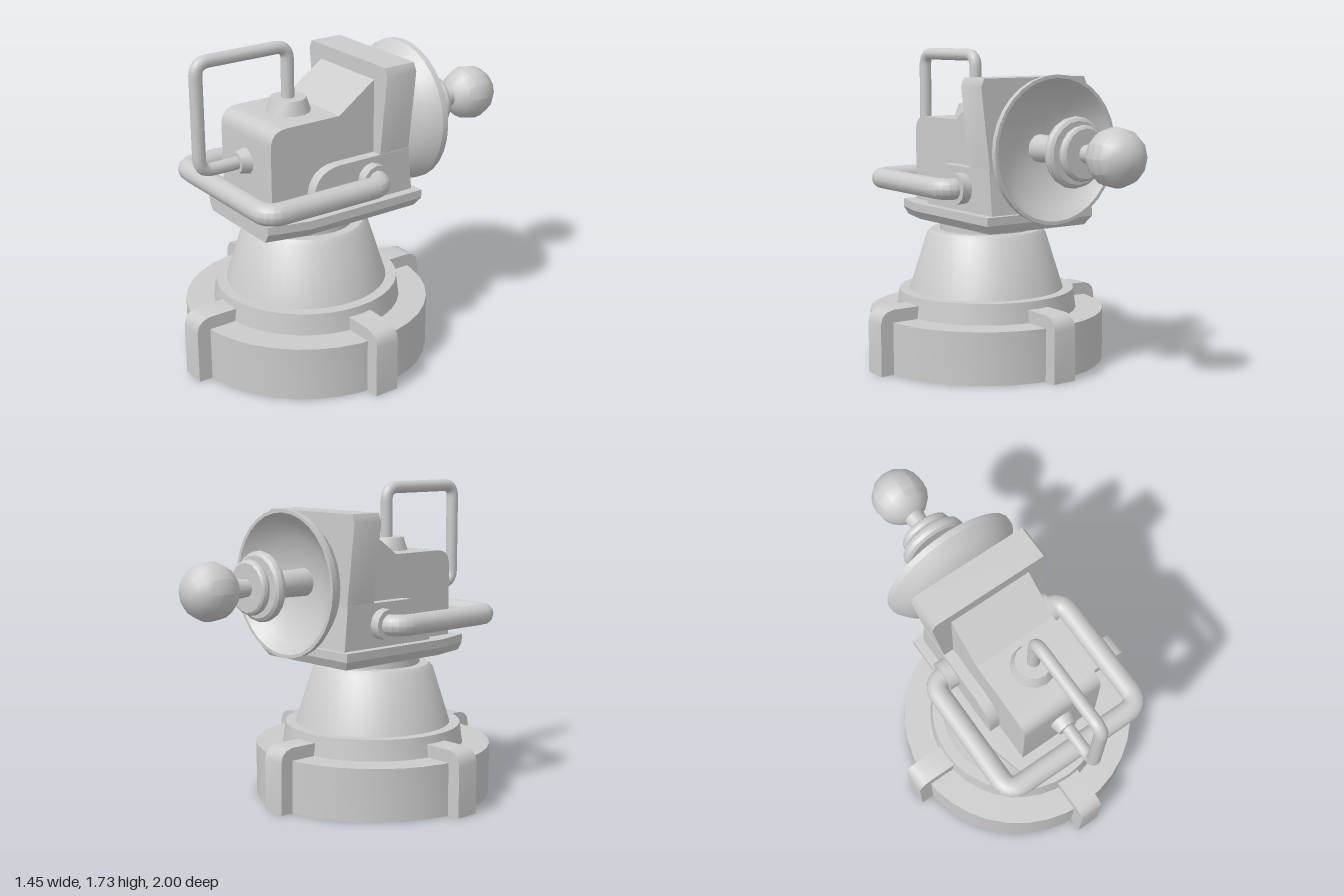
import * as THREE from 'three';
import { toCreasedNormals } from 'three/addons/utils/BufferGeometryUtils.js';

const material = new THREE.MeshStandardMaterial({ color: 0xcccccc });
const doubleSided = new THREE.MeshStandardMaterial({ color: 0xcccccc, side: THREE.DoubleSide });

export function createModel() {
  const model = new THREE.Group();

  const add = (name, geometry, mat = material, parent = model) => {
    const mesh = new THREE.Mesh(toCreasedNormals(geometry, 0.55), mat);
    mesh.name = name;
    parent.add(mesh);
    return mesh;
  };
  const lathe = (points, segments) =>
    new THREE.LatheGeometry(points.map(([r, y]) => new THREE.Vector2(r, y)), segments);
  const shapeOf = (points) => new THREE.Shape(points.map(([x, y]) => new THREE.Vector2(x, y)));
  const extrude = (shape, depth) =>
    new THREE.ExtrudeGeometry(shape, { depth, bevelEnabled: false, curveSegments: 6 });
  // Side profile in (z, y), extruded symmetrically across x
  const sideSlab = (shape, width) =>
    extrude(shape, width).translate(0, 0, -width / 2).rotateY(-Math.PI / 2);
  // Path of straight runs with rounded corners
  const bentTube = (points, bend, radius, segments) => {
    const p = points.map((a) => new THREE.Vector3(...a));
    const path = new THREE.CurvePath();
    let start = p[0];
    for (let i = 1; i < p.length - 1; i++) {
      const before = p[i].clone().add(p[i - 1].clone().sub(p[i]).setLength(bend));
      const after = p[i].clone().add(p[i + 1].clone().sub(p[i]).setLength(bend));
      path.add(new THREE.LineCurve3(start, before));
      path.add(new THREE.QuadraticBezierCurve3(before, p[i], after));
      start = after;
    }
    path.add(new THREE.LineCurve3(start, p[p.length - 1]));
    return new THREE.TubeGeometry(path, segments, radius, 12, false);
  };

  // Hollow round foot with a stepped collar, and the conical pedestal
  const pedestal = new THREE.Group();
  pedestal.name = 'pedestal';
  pedestal.position.z = 0.275;
  model.add(pedestal);
  add('footRing', lathe([[0.655, 0], [0.655, 0.287], [0.505, 0.287], [0.49, 0.4], [0, 0.4]], 36), doubleSided, pedestal);
  add('cone', lathe([[0, 0.401], [0.432, 0.401], [0.335, 0.71], [0.31, 0.735], [0.26, 0.735], [0.26, 0.8], [0, 0.8]], 36), material, pedestal);

  // Four clamps around the foot
  const clampShape = shapeOf([
    [0.365, 0], [0.725, 0], [0.725, 0.28], [0.715, 0.32], [0.69, 0.345], [0.65, 0.357],
    [0.48, 0.357], [0.48, 0.27], [0.365, 0.27],
  ]);
  for (let i = 0; i < 4; i++) {
    const clamp = add('footClamp', extrude(clampShape, 0.135).translate(0, 0, -0.0675), material, pedestal);
    clamp.rotation.y = (i * Math.PI) / 2;
  }

  // Turntable plate with an undercut lower edge
  const plateShape = shapeOf([
    [-0.345, -0.24], [0.345, -0.24], [0.345, 0.475], [0.285, 0.695], [-0.285, 0.695], [-0.345, 0.475],
  ]);
  add('plate', extrude(plateShape, 0.045).rotateX(Math.PI / 2).translate(0, 0.878, 0));
  const lower = extrude(plateShape, 0.047).rotateX(Math.PI / 2).translate(0, 0.833, 0);
  const pos = lower.attributes.position;
  for (let i = 0; i < pos.count; i++) {
    if (pos.getY(i) < 0.81) {
      pos.setX(i, pos.getX(i) * 0.9);
      pos.setZ(i, Math.max(pos.getZ(i), -0.215));
    }
  }
  add('plateUnderside', lower);

  // Body with rounded front edge and sloping rear
  const bodyShape = new THREE.Shape();
  bodyShape.moveTo(0.635, 0.87);
  bodyShape.lineTo(0.635, 1.26);
  bodyShape.quadraticCurveTo(0.635, 1.355, 0.54, 1.355);
  bodyShape.lineTo(0.22, 1.355);
  bodyShape.lineTo(-0.01, 1.515);
  bodyShape.lineTo(-0.01, 0.87);
  add('body', sideSlab(bodyShape, 0.47));

  // Tapered hood behind the body
  add('hood', extrude(shapeOf([
    [-0.262, 0.87], [0.262, 0.87], [0.345, 1.545], [0.325, 1.59], [-0.325, 1.59], [-0.345, 1.545],
  ]), 0.188).translate(0, 0, -0.188));

  // Cheek panels low on both sides
  const cheekShape = new THREE.Shape();
  cheekShape.moveTo(0.42, 0.87);
  cheekShape.lineTo(0.42, 0.98);
  cheekShape.quadraticCurveTo(0.4, 1.115, 0.25, 1.115);
  cheekShape.lineTo(-0.187, 1.115);
  cheekShape.lineTo(-0.21, 0.87);
  add('cheekPanels', sideSlab(cheekShape, 0.59));

  // Wide carrying bar and its pivots
  add('carryBar', bentTube([
    [0.27, 1, 0.06], [0.415, 1, 0.06], [0.415, 1, 0.77],
    [-0.415, 1, 0.77], [-0.415, 1, 0.06], [-0.27, 1, 0.06],
  ], 0.085, 0.058, 110));
  for (const side of [-1, 1]) {
    add('barPivot', new THREE.CylinderGeometry(0.085, 0.085, 0.08, 12)
      .rotateZ(Math.PI / 2).translate(side * 0.31, 1, 0.06));
  }

  // Upright front handle with its two sockets
  add('frontHandle', bentTube([
    [0, 1.38, 0.375], [0, 1.697, 0.375], [0, 1.697, 0.907], [0, 1.135, 0.907], [0, 1.135, 0.63],
  ], 0.07, 0.034, 90));
  add('topSocket', new THREE.CylinderGeometry(0.095, 0.12, 0.075, 14).translate(0, 1.389, 0.375));
  add('frontSocket', new THREE.CylinderGeometry(0.055, 0.07, 0.06, 12)
    .rotateX(Math.PI / 2).translate(0, 1.135, 0.662));

  // Rear dish and emitter, turned about an axis pointing backwards
  const emitter = new THREE.Group();
  emitter.name = 'emitter';
  emitter.position.set(0, 1.22, 0);
  emitter.rotation.x = -Math.PI / 2;
  model.add(emitter);
  add('dish', lathe([
    [0, 0.187], [0.11, 0.19], [0.2, 0.205], [0.28, 0.24], [0.34, 0.28], [0.388, 0.343], [0.39, 0.376],
    [0.372, 0.376], [0.32, 0.32], [0.24, 0.27], [0.14, 0.235], [0, 0.222],
  ], 32), material, emitter);
  add('rod', lathe([
    [0, 0.21], [0.075, 0.21], [0.07, 0.4], [0.06, 0.55], [0.046, 0.61], [0.057, 0.73], [0, 0.73],
  ], 14), material, emitter);
  const disc = (radius, y, h) => add('rodDisc', lathe([
    [0, y - h], [radius - h * 0.7, y - h], [radius - h * 0.2, y - h * 0.65], [radius, y],
    [radius - h * 0.2, y + h * 0.65], [radius - h * 0.7, y + h], [0, y + h],
  ], 18), material, emitter);
  disc(0.185, 0.525, 0.032);
  disc(0.145, 0.592, 0.025);
  add('ball', new THREE.SphereGeometry(0.152, 12, 10).translate(0, 0.848, 0), material, emitter);

  return model;
}
